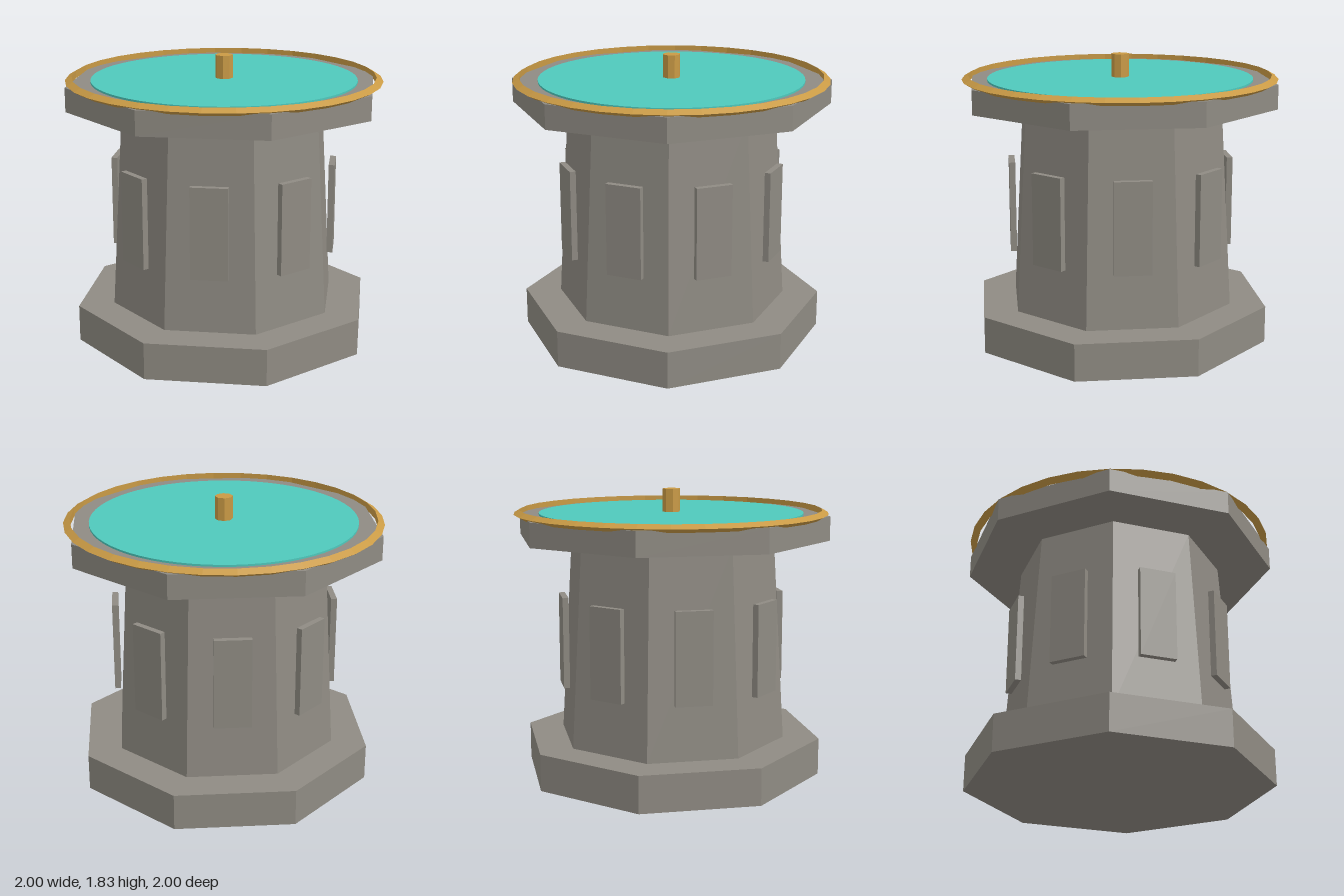
import * as THREE from 'three';

const stone = new THREE.MeshStandardMaterial({ name: 'stone', color: 0x8f8b83 });
const gold = new THREE.MeshStandardMaterial({ name: 'gold', color: 0xc99a45 });
const water = new THREE.MeshStandardMaterial({ name: 'water', color: 0x4fc8bc });
for (const m of [stone, gold]) m.flatShading = true;

function addMesh(parent, name, geometry, material) {
  const mesh = new THREE.Mesh(geometry, material);
  mesh.name = name;
  parent.add(mesh);
  return mesh;
}

// Octagonal block with flat sides facing the axes, sized by half-width across flats
function octagon(halfTop, halfBottom, y0, y1) {
  const k = 1 / Math.cos(Math.PI / 8);
  return new THREE.CylinderGeometry(halfTop * k, halfBottom * k, y1 - y0, 8)
    .rotateY(Math.PI / 8)
    .translate(0, (y0 + y1) / 2, 0);
}

export function createModel() {
  const model = new THREE.Group();
  model.name = 'pedestal';

  // Stone body
  addMesh(model, 'base', octagon(0.897, 0.897, 0, 0.235), stone);
  addMesh(model, 'shaft', octagon(0.61, 0.683, 0.235, 1.52), stone);
  addMesh(model, 'cap', octagon(0.933, 0.933, 1.52, 1.672), stone);

  // Upright panels, one in front of each side of the shaft
  const panels = new THREE.Group();
  panels.name = 'panels';
  model.add(panels);
  const panelGeometry = new THREE.BoxGeometry(0.23, 0.58, 0.038).translate(0, 0.875, 0.696);
  for (let i = 0; i < 8; i++) {
    addMesh(panels, 'panel', panelGeometry, stone).rotation.y = (i * Math.PI) / 4;
  }

  // Water surface, rim with a triangular section, and centre post
  addMesh(model, 'waterDisc', new THREE.CylinderGeometry(0.84, 0.84, 0.014, 64).translate(0, 1.677, 0), water);
  addMesh(model, 'rim', new THREE.TorusGeometry(0.971, 0.028, 3, 32).rotateX(-Math.PI / 2).translate(0, 1.681, 0), gold);
  addMesh(model, 'post', new THREE.CylinderGeometry(0.056, 0.056, 0.15, 8).translate(0, 1.755, 0), gold);

  return model;
}
